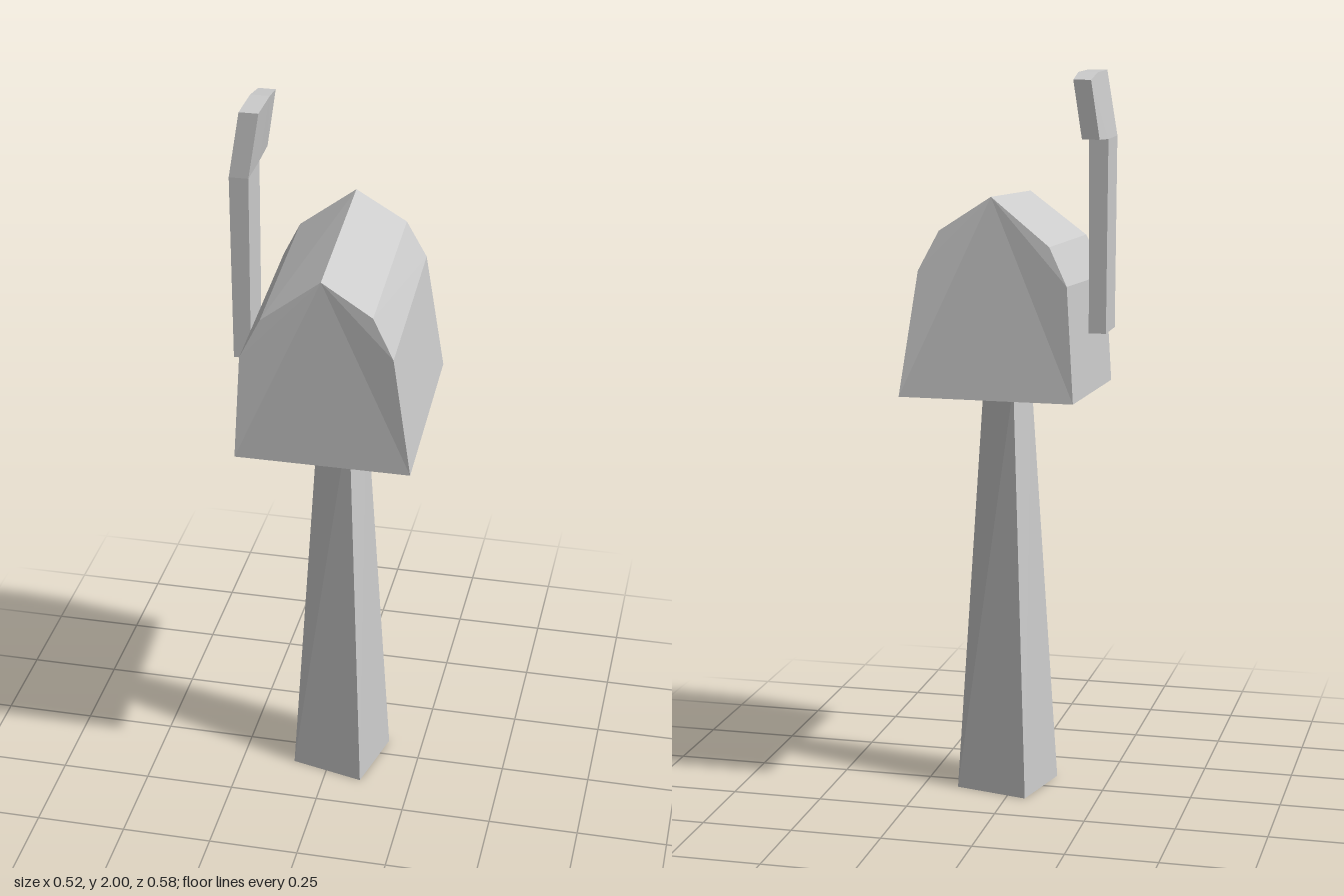
import * as THREE from 'three';

const material = new THREE.MeshStandardMaterial({ color: 0xcccccc, flatShading: true });

// Skin a row of cross-sections (counter-clockwise about the travel direction) and cap both ends.
function loft(name, sections) {
  const n = sections[0].length;
  const index = [];
  for (let i = 0; i < sections.length - 1; i++) {
    for (let j = 0; j < n; j++) {
      const a = i * n + j, b = i * n + (j + 1) % n;
      index.push(a, b, b + n, a, b + n, a + n);
    }
  }
  const last = (sections.length - 1) * n;
  for (let k = 1; k < n - 1; k++) {
    index.push(0, k + 1, k);
    index.push(last, last + k, last + k + 1);
  }
  const geometry = new THREE.BufferGeometry();
  geometry.setAttribute('position', new THREE.Float32BufferAttribute(sections.flat(2), 3));
  geometry.setIndex(index);
  const flat = geometry.toNonIndexed();
  flat.computeVertexNormals();
  const mesh = new THREE.Mesh(flat, material);
  mesh.name = name;
  return mesh;
}

export function createModel() {
  const group = new THREE.Group();
  group.name = 'mailbox';

  // Tapered post, slightly turned
  const postAt = (y, corners) => corners.map(([x, z]) => [x, y, z]);
  group.add(loft('post', [
    postAt(0, [[0.105, 0.14], [0.152, -0.065], [-0.053, -0.115], [-0.10, 0.09]]),
    postAt(1.15, [[0.056, 0.072], [0.086, -0.018], [-0.004, -0.046], [-0.034, 0.044]]),
  ]));

  // Crooked box with a peaked, faceted roof: back section, then front, each from the ridge
  group.add(loft('letterBox', [
    [[0.01, 1.685, -0.237], [-0.15, 1.56, -0.255], [-0.20, 1.46, -0.27], [-0.222, 1.155, -0.29],
      [0.25, 1.155, -0.288], [0.20, 1.49, -0.268], [0.146, 1.595, -0.255]],
    [[0.024, 1.65, 0.277], [-0.135, 1.53, 0.282], [-0.19, 1.42, 0.287], [-0.21, 1.12, 0.281],
      [0.262, 1.12, 0.283], [0.215, 1.455, 0.288], [0.16, 1.565, 0.282]],
  ]));

  // Flag: the stem rises, leans inward above the bend and turns into a tab toward the back.
  // Each section joins a leading and a trailing edge: [z, y, outer x, inner x]
  const flagSections = [
    [[0.072, 1.305, -0.26, -0.213], [-0.05, 1.305, -0.26, -0.213]],
    [[0.072, 1.825, -0.263, -0.211], [-0.05, 1.825, -0.263, -0.211]],
    [[0.058, 2.0, -0.237, -0.185], [-0.05, 1.825, -0.263, -0.211]],
    [[-0.068, 2.0, -0.237, -0.185], [-0.05, 1.825, -0.263, -0.211]],
    [[-0.155, 1.985, -0.237, -0.19], [-0.142, 1.83, -0.258, -0.211]],
  ];
  group.add(loft('flag', flagSections.map(([[z1, y1, out1, in1], [z2, y2, out2, in2]]) => [
    [in1, y1, z1], [in2, y2, z2], [out2, y2, z2], [out1, y1, z1],
  ])));

  return group;
}
